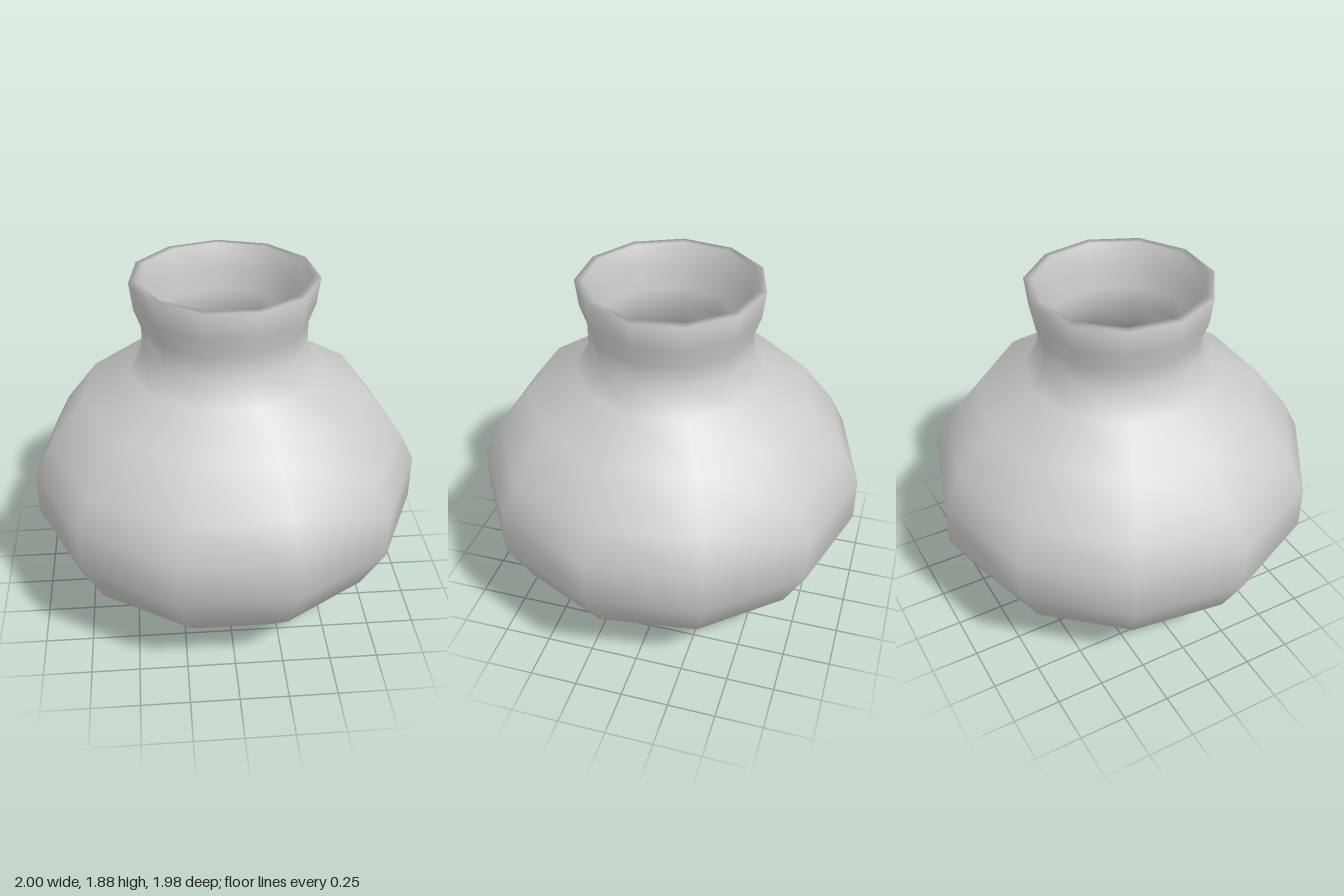
import * as THREE from 'three';

// Closed profile [radius, height]: base, outer wall, rim, then down the inside to the floor
const PROFILE = [
  // base and belly
  [0, 0], [0.455, 0], [0.69, 0.2], [0.88, 0.38], [1.01, 0.62], [1.01, 0.855],
  // shoulder
  [0.925, 1.02], [0.74, 1.26], [0.495, 1.39],
  // neck and flared rim
  [0.42, 1.525], [0.42, 1.64], [0.455, 1.74], [0.472, 1.88],
  [0.43, 1.88], [0.418, 1.75], [0.385, 1.64], [0.385, 1.53],
  // hollow inside
  [0.46, 1.36], [0.7, 1.22], [0.88, 1.0], [0.96, 0.84], [0.96, 0.64],
  [0.84, 0.41], [0.66, 0.23], [0.44, 0.05], [0, 0.05],
];

export function createModel() {
  const group = new THREE.Group();
  group.name = 'pot';

  // Eleven-sided turned body with one corner pointing to the back
  const points = PROFILE.map(([r, y]) => new THREE.Vector2(r, y));
  const geometry = new THREE.LatheGeometry(points, 11, Math.PI);
  geometry.translate(0, 0, 0.02); // centre the odd-sided outline

  const body = new THREE.Mesh(geometry, new THREE.MeshStandardMaterial({ color: 0xcccccc }));
  body.name = 'potBody';
  group.add(body);
  return group;
}
